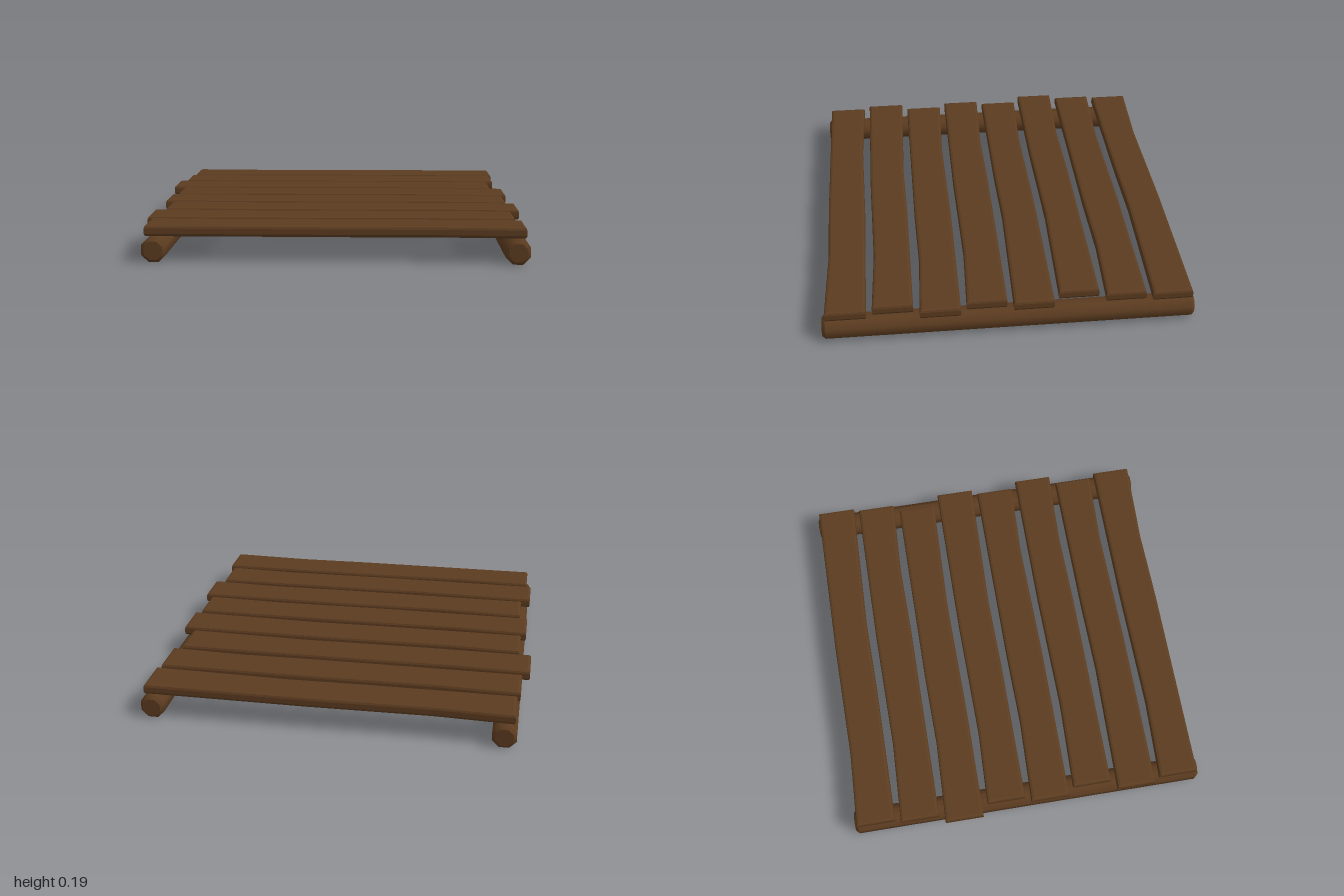
import * as THREE from 'three';

const wood = new THREE.MeshStandardMaterial({ color: 0x5c3c20 });
wood.name = 'dark brown wood';

const BEVEL = 0.015;

// Plank outline seen from above: each long edge is pinched in at one point
function plankGeometry(length, width, backPinch, frontPinch) {
  const a = length / 2, b = width / 2, dent = 0.014;
  const shape = new THREE.Shape();
  shape.moveTo(-a, -b);
  shape.lineTo(frontPinch - 0.4, -b + dent * 0.35);
  shape.lineTo(frontPinch, -b + dent);
  shape.lineTo(a, -b);
  shape.lineTo(a, b);
  shape.lineTo(backPinch + 0.65, b - dent * 0.1);
  shape.lineTo(backPinch, b - dent);
  shape.lineTo(-a, b);
  shape.closePath();
  const geometry = new THREE.ExtrudeGeometry(shape, {
    depth: 0.057 - 2 * BEVEL, bevelThickness: BEVEL, bevelSize: BEVEL,
    bevelOffset: -BEVEL, bevelSegments: 2,
  });
  geometry.rotateX(-Math.PI / 2);
  return geometry.translate(0, BEVEL, 0);
}

// Eight-sided log with chamfered ends, lying along z, flat side down
function logGeometry(apothem, length) {
  const r = apothem / Math.cos(Math.PI / 8), h = length / 2, c = 0.016;
  const half = [[0, h], [r - c - 0.002, h], [r - c, h], [r, h - c], [r, h - c - 0.004]];
  const profile = [
    ...half.map(([x, y]) => new THREE.Vector2(x, -y)),
    ...half.reverse().map(([x, y]) => new THREE.Vector2(x, y)),
  ];
  return new THREE.LatheGeometry(profile, 8, Math.PI / 8).rotateX(Math.PI / 2);
}

export function createModel() {
  const model = new THREE.Group();
  model.name = 'plankPlatform';

  // Supporting logs
  const log = logGeometry(0.062, 1.935);
  for (const [name, x] of [['rightLog', -0.895], ['leftLog', 0.935]]) {
    const mesh = new THREE.Mesh(log, wood);
    mesh.name = name;
    mesh.position.set(x, 0.062, 0);
    model.add(mesh);
  }

  // Planks from back to front: [x shift, back pinch, front pinch, turned half round]
  const planks = [
    [0.015, -0.55, 0.22, false],
    [0, -0.52, 0.55, false],
    [-0.04, -0.3, 0.52, true],
    [0.025, -0.55, 0.22, false],
    [-0.003, -0.55, 0.5, true],
    [0.04, -0.48, 0.55, false],
    [-0.01, -0.55, 0.25, true],
    [0.018, -0.52, 0.5, false],
  ];
  planks.forEach(([x, back, front, turned], i) => {
    const mesh = new THREE.Mesh(plankGeometry(1.92, 0.211, back, front), wood);
    mesh.name = `plank${i + 1}`;
    mesh.position.set(x, 0.13, -0.847 + i * 0.2415);
    if (turned) mesh.rotation.y = Math.PI;
    model.add(mesh);
  });

  return model;
}
